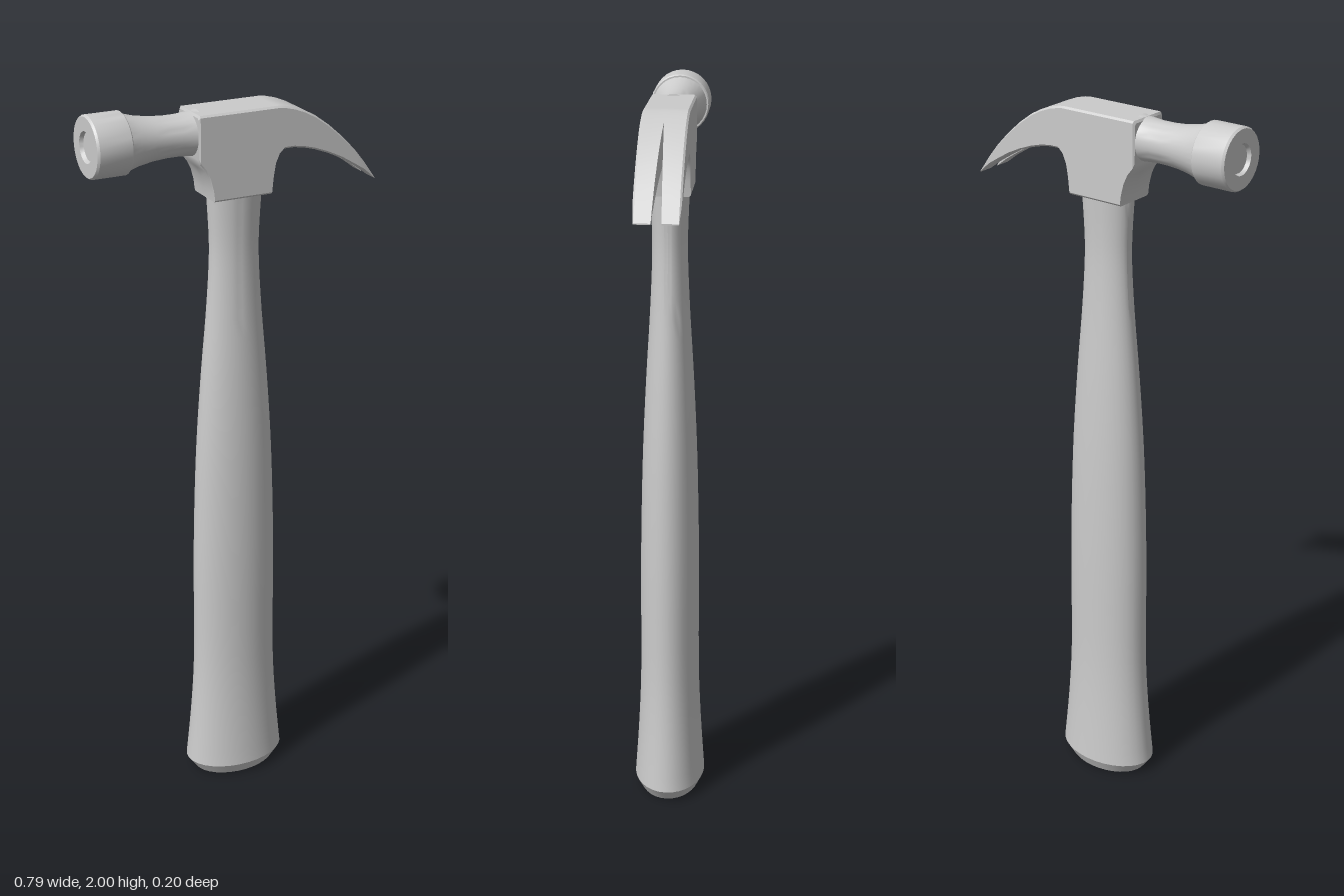
import * as THREE from 'three';
import { toCreasedNormals } from 'three/addons/utils/BufferGeometryUtils.js';

const material = new THREE.MeshStandardMaterial({ color: 0xcccccc });

function part(name, geometry) {
  const mesh = new THREE.Mesh(toCreasedNormals(geometry, 0.5), material);
  mesh.name = name;
  return mesh;
}

const toPoints = (list) => list.map(([a, b]) => new THREE.Vector2(a, b));

// Oval wooden handle: a turned profile flattened front to back
function createHandle() {
  const grip = new THREE.SplineCurve(toPoints([
    [0.147, 0.035], [0.131, 0.2], [0.121, 0.38], [0.12, 0.65], [0.116, 0.85], [0.108, 1.05],
    [0.094, 1.25], [0.079, 1.42], [0.07, 1.56], [0.07, 1.65], [0.078, 1.78],
  ])).getPoints(30);
  const profile = [...toPoints([[0, 0], [0.122, 0]]), ...grip, new THREE.Vector2(0, 1.78)];
  const geometry = new THREE.LatheGeometry(profile, 32);
  geometry.scale(1, 1, 0.68);
  geometry.translate(0.006, 0, 0);
  return part('handle', geometry);
}

// Striking face and waisted neck, turned about the x axis
function createPoll() {
  const profile = toPoints([
    [0, 0.1], [0.06, 0.1], [0.056, 0.12], [0.053, 0.155], [0.053, 0.19], [0.056, 0.23],
    [0.063, 0.27], [0.073, 0.304], [0.077, 0.304], [0.08, 0.307], [0.08, 0.394],
    [0.076, 0.4], [0.04, 0.4], [0.036, 0.39], [0, 0.39],
  ]);
  const geometry = new THREE.LatheGeometry(profile, 32);
  geometry.rotateZ(Math.PI / 2);
  geometry.translate(0, 1.92, 0);
  return part('strikingFace', geometry);
}

// Stations along the head: x, top y, bottom y
const stations = [
  [-0.12, 1.971, 1.864], [-0.116, 1.977, 1.852], [-0.1, 1.977, 1.832], [-0.088, 1.977, 1.806],
  [-0.08, 1.977, 1.775], [-0.077, 1.977, 1.75], [0.086, 1.977, 1.75], [0.09, 1.977, 1.79],
  [0.096, 1.977, 1.825], [0.107, 1.977, 1.85], [0.122, 1.975, 1.864], [0.15, 1.968, 1.864],
  [0.18, 1.956, 1.859], [0.21, 1.94, 1.851], [0.25, 1.911, 1.836], [0.29, 1.876, 1.817],
  [0.33, 1.835, 1.793], [0.36, 1.798, 1.774], [0.393, 1.752, 1.749],
];

// One half of the head; the inner wall opens into the claw slot
function createHeadHalf(side) {
  const positions = [];
  const rings = stations.map(([x, top, bottom]) => {
    const b = Math.min(0.005, (top - bottom) / 3);
    const slot = Math.max(0, (x - 0.18) * 0.062);
    const outer = x > 0.39 || x < -0.118 ? 0.056 : 0.06;
    return [
      [slot, top], [outer - b, top], [outer, top - b],
      [outer, bottom + b], [outer - b, bottom], [slot, bottom],
    ].map(([z, y]) => [x, y, z * side]);
  });
  const triangle = (a, b, c) => positions.push(...a, ...(side > 0 ? b : c), ...(side > 0 ? c : b));
  const count = rings[0].length;
  for (let i = 0; i < rings.length - 1; i++) {
    for (let j = 0; j < count; j++) {
      const k = (j + 1) % count;
      triangle(rings[i][j], rings[i][k], rings[i + 1][k]);
      triangle(rings[i][j], rings[i + 1][k], rings[i + 1][j]);
    }
  }
  const first = rings[0];
  const last = rings[rings.length - 1];
  for (let j = 1; j < count - 1; j++) {
    triangle(first[0], first[j + 1], first[j]);
    triangle(last[0], last[j], last[j + 1]);
  }
  const geometry = new THREE.BufferGeometry();
  geometry.setAttribute('position', new THREE.Float32BufferAttribute(positions, 3));
  return part(side > 0 ? 'frontClaw' : 'backClaw', geometry);
}

export function createModel() {
  const head = new THREE.Group();
  head.name = 'head';
  head.add(createPoll(), createHeadHalf(1), createHeadHalf(-1));

  const model = new THREE.Group();
  model.name = 'clawHammer';
  model.add(createHandle(), head);
  return model;
}
